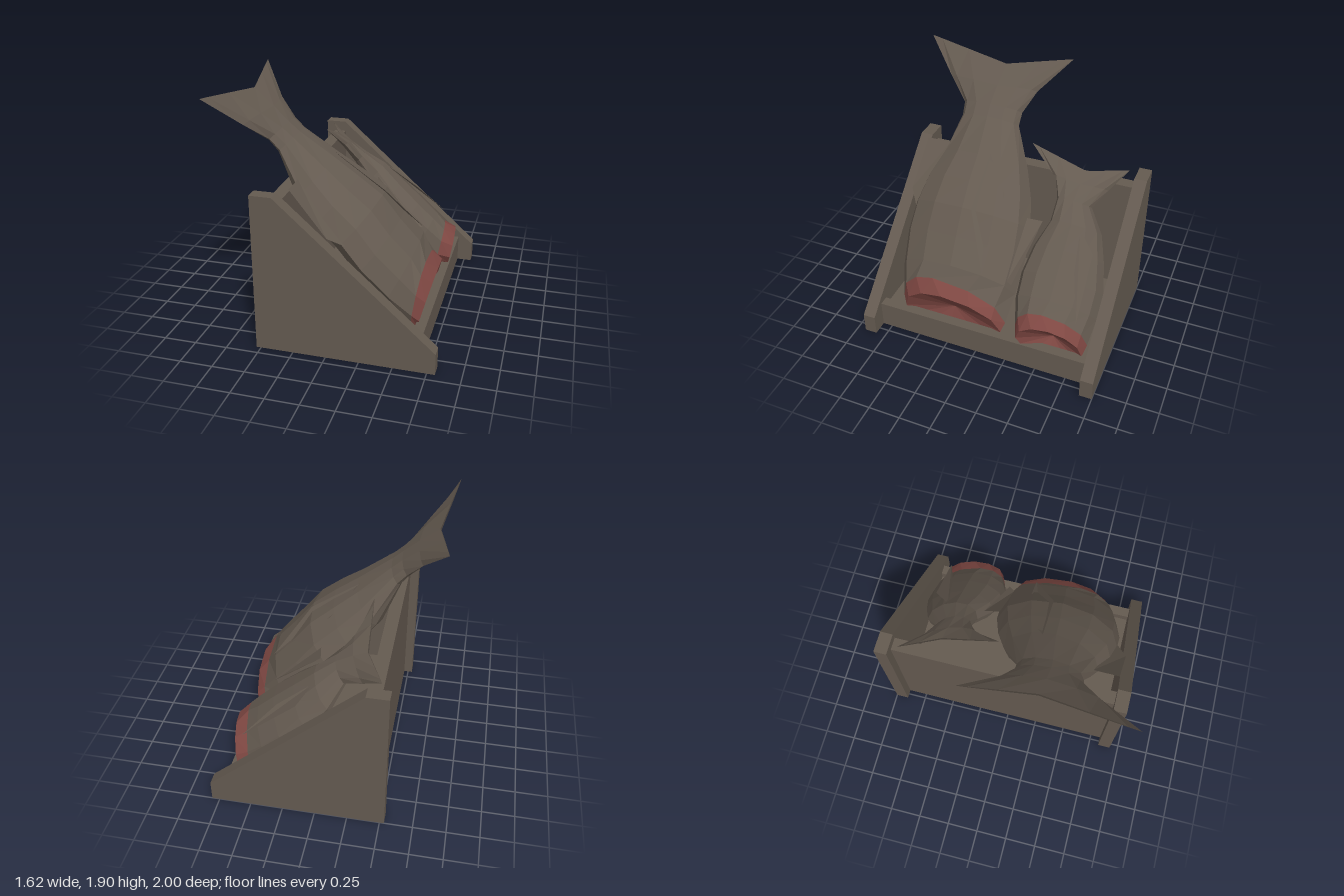
import * as THREE from 'three';

const main = new THREE.MeshStandardMaterial({ color: 0x645a50, flatShading: true, side: THREE.DoubleSide });
main.name = 'weathered grey';
const cut = new THREE.MeshStandardMaterial({ color: 0x7e4742, flatShading: true, side: THREE.DoubleSide });
cut.name = 'flesh red';

const SIDES = 12;

function mesh(name, geometry, material = main) {
  const m = new THREE.Mesh(geometry, material);
  m.name = name;
  return m;
}

function box(name, x0, x1, y0, y1, z0, z1) {
  const m = mesh(name, new THREE.BoxGeometry(x1 - x0, y1 - y0, z1 - z0));
  m.position.set((x0 + x1) / 2, (y0 + y1) / 2, (z0 + z1) / 2);
  return m;
}

function fromTriangles(points) {
  const g = new THREE.BufferGeometry().setFromPoints(points);
  g.computeVertexNormals();
  return g;
}

// Section: top x, top y, centre x, centre y, z min, z max, ridge z, roll, fork
function ring([tx, ty, cx, cy, z0, z1, zc = (z0 + z1) / 2, roll = 0, fork = 0]) {
  const pts = [];
  for (let j = 0; j < SIDES; j++) {
    const a = (j / SIDES) * Math.PI * 2 + Math.PI / 2;
    const c = Math.cos(a), s = Math.sin(a);
    const h = s > 0 ? s : s * 0.6; // underside is flatter than the top
    const dz = (c > 0 ? z1 - zc : zc - z0) * c;
    const back = fork * Math.abs(c); // tail fork sweeps the tips backwards
    pts.push(new THREE.Vector3(
      cx + (tx - cx) * h + 0.69 * roll * dz - 0.72 * back,
      cy + (ty - cy) * h + 0.72 * roll * dz + 0.69 * back,
      zc + dz));
  }
  return pts;
}

// Skin over sections running from tail to head; the head end may be closed by a hollow cap
function loft(sections, hollow) {
  const rings = sections.map(ring);
  const tri = [];
  for (let i = 0; i < rings.length - 1; i++) {
    for (let j = 0; j < SIDES; j++) {
      const k = (j + 1) % SIDES;
      const a = rings[i][j], b = rings[i][k], c = rings[i + 1][j], d = rings[i + 1][k];
      tri.push(a, c, b, b, c, d);
    }
  }
  if (hollow) {
    const r = rings[rings.length - 1];
    const mid = r.reduce((s, p) => s.add(p), new THREE.Vector3()).divideScalar(SIDES);
    mid.x -= hollow;
    r.forEach((p, j) => tri.push(mid, r[(j + 1) % SIDES], p));
  }
  return fromTriangles(tri);
}

function fin(name, pts) {
  const [a, b, c, d] = pts.map((p) => new THREE.Vector3(...p));
  return mesh(name, fromTriangles([a, b, c, a, c, d]));
}

// Headless fish: grey body and tail, red hollow cut end
function fish(name, sections, fins) {
  const g = new THREE.Group();
  g.name = name;
  g.add(mesh('bodyAndTail', loft(sections.slice(0, -1), 0)));
  g.add(mesh('cutEnd', loft(sections.slice(-2), 0.11), cut));
  for (const [finName, pts] of Object.entries(fins)) g.add(fin(finName, pts));
  return g;
}

function crate() {
  const g = new THREE.Group();
  g.name = 'crate';
  const side = new THREE.Shape([
    [-0.535, 0], [0.81, 0], [0.81, 0.165], [-0.37, 1.22], [-0.535, 1.22],
  ].map((p) => new THREE.Vector2(...p)));
  for (const [name, z] of [['leftSidePanel', 0.83], ['rightSidePanel', -1]]) {
    const panel = mesh(name, new THREE.ExtrudeGeometry(side, { depth: 0.1, bevelEnabled: false }));
    panel.position.z = z;
    g.add(panel);
  }
  g.add(box('lipBoard', 0.61, 0.69, 0, 0.22, -0.9, 0.83));
  g.add(box('backBoard', -0.465, -0.365, 0, 1.135, -0.9, 0.83));
  g.add(box('floorBoard', -0.37, 0.62, 0.12, 0.15, -0.9, 0.83));
  return g;
}

export function createModel() {
  const model = new THREE.Group();
  model.name = 'fishCrate';
  model.add(crate());

  model.add(fish('largeFish', [
    [-0.71, 1.815, -0.715, 1.81, -0.23, 1.0, 0.3, 0, 0.135],
    [-0.56, 1.69, -0.60, 1.645, 0.0, 0.75, 0.32, 0, 0.03],
    [-0.44, 1.58, -0.50, 1.52, 0.08, 0.58],
    [-0.36, 1.51, -0.43, 1.44, 0.08, 0.57],
    [-0.10, 1.32, -0.25, 1.16, -0.07, 0.66],
    [0.08, 1.19, -0.09, 1.00, -0.16, 0.74],
    [0.26, 1.05, 0.08, 0.85, -0.22, 0.77],
    [0.40, 0.87, 0.23, 0.67, -0.24, 0.78],
    [0.55, 0.70, 0.42, 0.46, -0.23, 0.74],
    [0.62, 0.59, 0.58, 0.29, -0.21, 0.67, 0.38],
    [0.70, 0.50, 0.63, 0.23, -0.19, 0.63, 0.28],
  ], {
    sideFin: [[-0.13, 1.33, 0.2], [0.26, 1.06, 0.2], [0.54, 0.69, 0], [0.07, 1.12, 0]],
    upperFin: [[-0.28, 1.25, 0.62], [-0.28, 1.25, 0.82], [0, 0.92, 0.85], [0.13, 0.82, 0.75]],
    lowerFin: [[0.08, 0.96, -0.32], [0.1, 0.97, -0.2], [0.45, 0.6, -0.17], [0.48, 0.6, -0.22]],
  }));

  model.add(fish('smallFish', [
    [-0.31, 1.235, -0.315, 1.23, -0.84, -0.09, -0.53, 0.33, 0.1],
    [-0.20, 1.18, -0.24, 1.14, -0.72, -0.30, -0.52, 0.38, 0.02],
    [-0.07, 1.10, -0.13, 1.04, -0.64, -0.37, -0.51, 0.3],
    [0.08, 1.00, -0.02, 0.89, -0.76, -0.36, -0.55, 0.25],
    [0.24, 0.86, 0.12, 0.73, -0.83, -0.28, -0.55, 0.2],
    [0.40, 0.72, 0.27, 0.56, -0.88, -0.24, -0.55, 0.2],
    [0.53, 0.60, 0.42, 0.42, -0.88, -0.25, -0.55, 0.2],
    [0.62, 0.52, 0.57, 0.29, -0.86, -0.30, -0.52, 0.2],
    [0.70, 0.45, 0.66, 0.25, -0.85, -0.34, -0.6, 0.2],
  ], {
    sideFin: [[0.07, 0.96, -0.62], [0.34, 0.76, -0.67], [0.6, 0.5, -0.78], [0.18, 0.84, -0.76]],
  }));
  return model;
}
